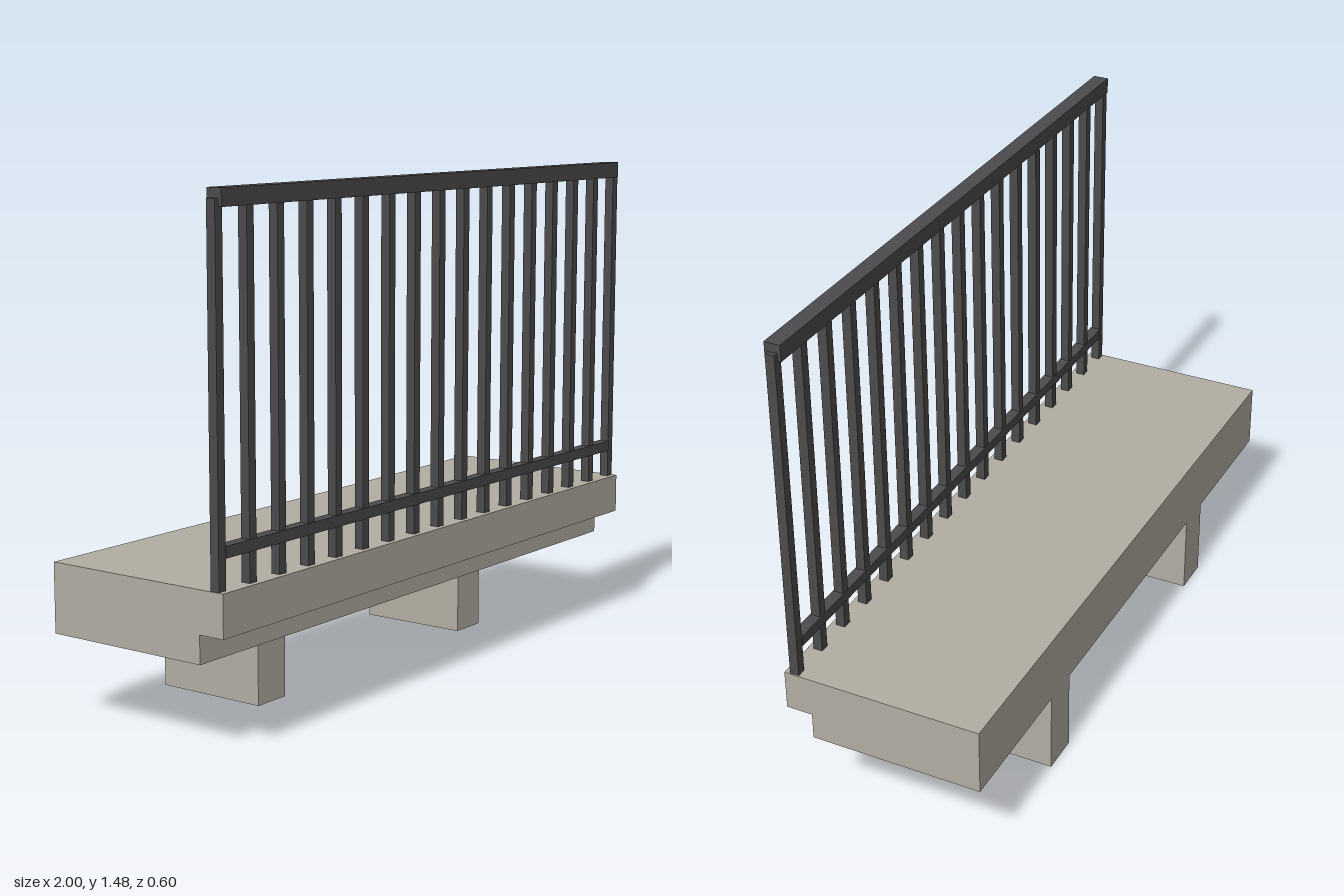
import * as THREE from 'three';

export function createModel() {
  const concrete = new THREE.MeshStandardMaterial({ color: 0xb3aea3 });
  concrete.name = 'concrete';
  const metal = new THREE.MeshStandardMaterial({ color: 0x4b4b4d });
  metal.name = 'dark metal';

  const model = new THREE.Group();
  model.name = 'balcony';

  // Box given by its size and the position of its centre
  function addBox(parent, name, material, [w, h, d], [x, y, z]) {
    const mesh = new THREE.Mesh(new THREE.BoxGeometry(w, h, d), material);
    mesh.name = name;
    mesh.position.set(x, y, z);
    parent.add(mesh);
  }

  // Slab: side profile with a stepped front lip, extruded along x
  const profile = new THREE.Shape([
    [0.3, 0.25], [0.3, 0.45], [-0.3, 0.45], [-0.3, 0.33], [-0.22, 0.33], [-0.22, 0.25],
  ].map(([a, y]) => new THREE.Vector2(a, y)));
  const slabGeometry = new THREE.ExtrudeGeometry(profile, { depth: 2, bevelEnabled: false });
  slabGeometry.translate(0, 0, -1).rotateY(Math.PI / 2);
  const slab = new THREE.Mesh(slabGeometry, concrete);
  slab.name = 'slab';
  model.add(slab);

  // Support blocks under the rear of the slab
  for (const side of [-1, 1]) {
    addBox(model, side > 0 ? 'leftSupport' : 'rightSupport', concrete,
      [0.12, 0.25, 0.35], [side * 0.5, 0.125, -0.125]);
  }

  // Railing: evenly spaced bars between a lower rail and a handrail
  const railing = new THREE.Group();
  railing.name = 'railing';
  model.add(railing);
  const railZ = 0.27, reach = 0.982, barCount = 17;
  for (let i = 0; i < barCount; i++) {
    const x = -reach + (2 * reach * i) / (barCount - 1);
    addBox(railing, 'bar', metal, [0.028, 1.0, 0.028], [x, 0.95, railZ]);
  }
  addBox(railing, 'handrail', metal, [2 * reach, 0.048, 0.048], [0, 1.452, railZ]);
  addBox(railing, 'lowerRail', metal, [1.94, 0.032, 0.034], [0, 0.551, railZ]);

  return model;
}
